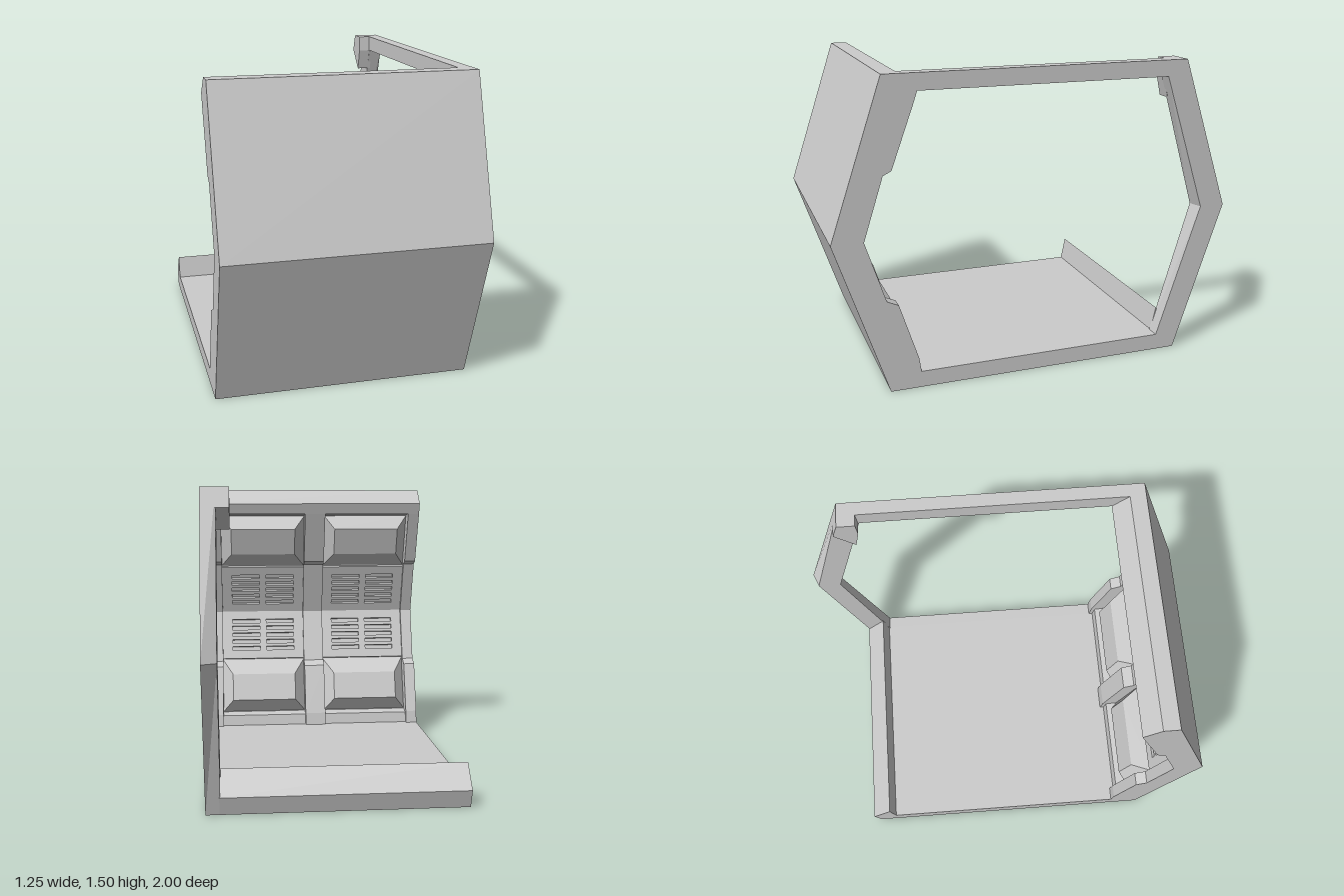
import * as THREE from 'three';

const grey = new THREE.MeshStandardMaterial({ color: 0xcccccc, flatShading: true });
const HALF = 0.625; // half length of the corridor section

function add(parent, geometry, name) {
  const mesh = new THREE.Mesh(geometry, grey);
  mesh.name = name;
  parent.add(mesh);
  return mesh;
}

// Cross-section of [z, y] points swept along x
function sweep(points, x0, x1) {
  const shape = new THREE.Shape(points.map(([z, y]) => new THREE.Vector2(-z, y)));
  return new THREE.ExtrudeGeometry(shape, { depth: x1 - x0, bevelEnabled: false })
    .rotateY(Math.PI / 2).translate(x0, 0, 0);
}

// Plate with two columns of vent slots
function ventPlate(width, height, depth) {
  const rect = (path, x, y, w, h) => path.setFromPoints([
    [x - w / 2, y - h / 2], [x + w / 2, y - h / 2], [x + w / 2, y + h / 2], [x - w / 2, y + h / 2],
  ].map(([a, b]) => new THREE.Vector2(a, b)));
  const shape = rect(new THREE.Shape(), 0, 0, width, height);
  for (const x of [-0.105, 0.105])
    for (let row = -2; row <= 2; row++)
      shape.holes.push(rect(new THREE.Path(), x, row * 0.043, 0.17, 0.024));
  return new THREE.ExtrudeGeometry(shape, { depth, bevelEnabled: false });
}

// Raised panel whose front is smaller than its base
function raisedPanel(width, height, depth) {
  const geometry = new THREE.BoxGeometry(width, height, depth);
  const p = geometry.attributes.position;
  for (let i = 0; i < p.count; i++) {
    if (p.getZ(i) < 0) continue;
    p.setX(i, p.getX(i) - Math.sign(p.getX(i)) * 0.06);
    p.setY(i, p.getY(i) - (p.getY(i) > 0 ? 0.1 : -0.06));
  }
  geometry.computeVertexNormals();
  return geometry;
}

// Vents and raised panels on one sloping half of the wall
function wallPanels(name) {
  const half = new THREE.Group();
  half.name = name;
  const slope = new THREE.Group();
  slope.name = 'slopedPanels';
  slope.position.set(0, 0, 0.89);
  slope.rotation.set(Math.atan(1 / 3), Math.PI, 0);
  for (const x of [-0.31, 0.31]) {
    add(slope, ventPlate(0.5, 0.3, 0.02), 'ventPanel').position.set(x, -0.155, 0);
    add(slope, raisedPanel(0.5, 0.32, 0.07), 'raisedPanel').position.set(x, -0.47, 0.035);
  }
  half.add(slope);
  half.position.y = 0.75;
  return half;
}

export function createModel() {
  const model = new THREE.Group();
  model.name = 'corridorSection';

  // Floor with a sloping lip along the open side
  add(model, sweep([
    [0.75, 0], [-0.75, 0], [-0.78, 0.09], [-0.68, 0.2], [-0.655, 0.08], [0.7, 0.08],
  ], -HALF, HALF - 0.065), 'floor');

  // Angled wall with a curb at the bottom and a chamfered top
  add(model, sweep([
    [0.75, 0], [1, 0.75], [0.75, 1.5], [0.67, 1.5], [0.59, 1.42], [0.61, 1.36],
    [0.69, 1.35], [0.89, 0.75], [0.69, 0.15], [0.63, 0.14], [0.62, 0.08], [0.62, 0],
  ], -HALF, HALF), 'wall');

  // Stepped ribs at both ends and in the middle
  const rib = [
    [0.6, 0.08], [0.61, 0.15], [0.7, 0.43], [0.755, 0.455], [0.85, 0.75],
    [0.755, 1.05], [0.715, 1.07], [0.61, 1.36], [0.59, 1.42],
    [0.72, 1.42], [0.95, 0.75], [0.72, 0.08],
  ];
  for (const [x0, x1] of [[-HALF, -0.56], [-0.06, 0.06], [0.56, HALF]])
    add(model, sweep(rib, x0, x1), 'wallRib');

  // Lower panels, and the same turned over for the upper half
  model.add(wallPanels('lowerPanels'));
  const upper = wallPanels('upperPanels');
  upper.rotation.z = Math.PI;
  model.add(upper);

  // End frame, its side post tapering inwards
  const frame = sweep([
    [0.7, 0], [-0.75, 0], [-1, 0.75], [-0.75, 1.5], [0.7, 1.5],
    [0.7, 1.42], [-0.65, 1.42], [-0.87, 0.75], [-0.65, 0.08], [0.7, 0.08],
  ], 0.555, HALF);
  const p = frame.attributes.position;
  for (let i = 0; i < p.count; i++) {
    const z = p.getZ(i);
    if (p.getX(i) < 0.6 && z < -0.8) p.setZ(i, z + (z < -0.9 ? 0.03 : 0.02));
  }
  frame.computeVertexNormals();
  add(model, frame, 'endFrame');

  // Short broken-off stub at the frame's upper corner
  add(model, sweep([
    [-0.75, 1.5], [-0.78, 1.41], [-0.68, 1.31], [-0.655, 1.42], [-0.66, 1.5],
  ], 0.495, 0.57), 'frameStub');

  return model;
}
